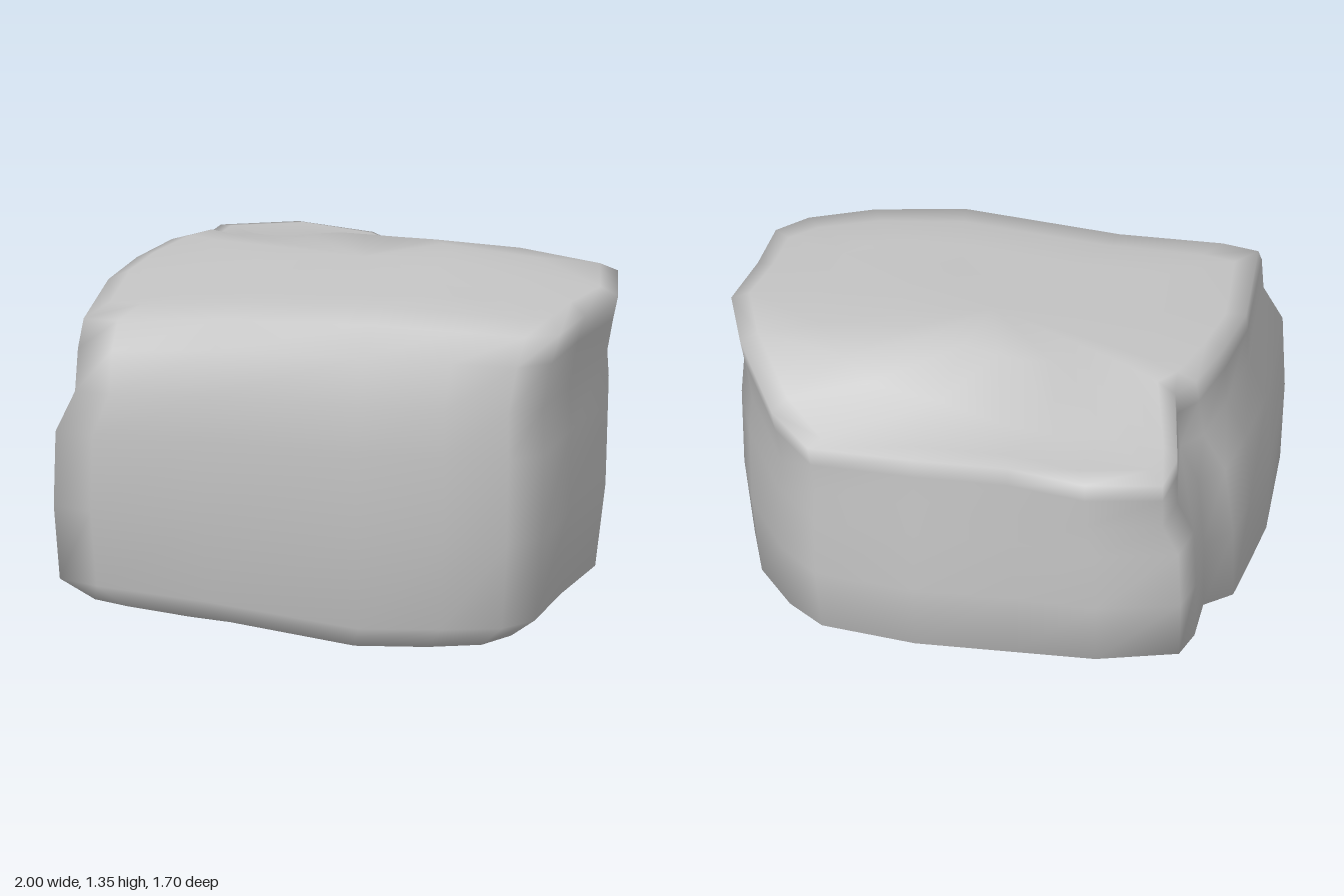
import * as THREE from 'three';

// Plan outline of the boulder (x, z), anticlockwise from its front right-hand corner
const OUTLINE = [
  [-0.97, 0.83], [-0.82, 0.85], [-0.4, 0.8], [0.22, 0.82], [0.56, 0.77], [0.8, 0.69], [0.91, 0.58],
  [0.94, 0.3], [1, 0], [0.92, -0.28], [0.76, -0.52], [0.6, -0.67], [0.2, -0.73], [-0.2, -0.8],
  [-0.53, -0.85], [-0.84, -0.78], [-0.87, -0.6], [-0.86, -0.33], [-0.96, -0.24], [-0.98, 0], [-1, 0.3],
];

// Cross-sections: height fraction, then reach to -x, +x, -z, +z
const LEVELS = [
  [0, 0.25, 0.3, 0.15, 0.35],
  [0, 0.6, 0.58, 0.5, 0.64],
  [0.02, 0.86, 0.8, 0.7, 0.75],
  [0.08, 0.99, 0.91, 0.83, 0.79],
  [0.35, 1, 0.95, 0.85, 0.84],
  [0.62, 0.99, 0.96, 0.85, 0.85],
  [0.76, 0.92, 0.95, 0.85, 0.82],
  [0.9, 0.92, 0.98, 0.85, 0.78],
  [0.98, 0.92, 1, 0.85, 0.7],
  [1, 0.85, 0.93, 0.78, 0.57],
  [1, 0.62, 0.68, 0.58, 0.42],
  [1, 0.32, 0.35, 0.3, 0.22],
];

const { smoothstep, lerp } = THREE.MathUtils;
const over = (v) => Math.max(0, v);
const bump = (v, centre, width) => Math.exp(-(((v - centre) / width) ** 2));

// Sloping underside, lowest near the front
const underside = (x, z) =>
  0.11 * Math.abs(0.62 - z) + 0.1 * over(0.2 - x) + 0.05 * over(x - 0.2) + 0.12 * over(-z - 0.3);

// Gently domed top, with a lower shelf at the back and a gully beside it
const topside = (x, z) =>
  1.36 - 0.065 * over(0.33 - x) - 0.1 * over(x - 0.33) - 0.05 * over(z)
  - (0.11 + 0.17 * bump(x, 0.38, 0.38)) * smoothstep(-z, 0.3, 0.55);

function boulderGeometry() {
  const points = [];
  const faces = [];
  const n = OUTLINE.length;
  const add = (x, z, t) => points.push(x, lerp(underside(x, z), topside(x, z), t), z);

  for (const [t, left, right, back, front] of LEVELS) {
    for (const [u, v] of OUTLINE) {
      let x = u * (u < 0 ? left : right);
      let z = (v / 0.85) * (v < 0 ? back : front);
      // Shallow hollows in the back and the upper left side
      if (z < -0.4) z += 0.06 * t * bump(x, 0.25, 0.3);
      if (x < -0.7) x += 0.08 * t * t * bump(z, -0.2, 0.18);
      add(x, z, t);
    }
  }

  // Skin between neighbouring sections
  for (let i = 0; i < LEVELS.length - 1; i++) {
    for (let j = 0; j < n; j++) {
      const a = i * n + j;
      const b = i * n + ((j + 1) % n);
      faces.push(a, b, b + n, a, b + n, a + n);
    }
  }

  // Close the bottom and top
  const bottom = LEVELS.length * n;
  const last = bottom - n;
  add(0, 0.1, 0);
  add(0, 0, 1);
  for (let j = 0; j < n; j++) {
    const k = (j + 1) % n;
    faces.push(bottom, k, j, last + j, last + k, bottom + 1);
  }

  const geometry = new THREE.BufferGeometry();
  geometry.setAttribute('position', new THREE.Float32BufferAttribute(points, 3));
  geometry.setIndex(faces);
  geometry.computeVertexNormals();
  return geometry;
}

export function createModel() {
  const group = new THREE.Group();
  group.name = 'rock';
  const stone = new THREE.MeshStandardMaterial({ color: 0xc4c4c4 });
  stone.name = 'grey stone';
  const boulder = new THREE.Mesh(boulderGeometry(), stone);
  boulder.name = 'boulder';

  // Stand it on the ground
  boulder.geometry.computeBoundingBox();
  boulder.position.y = -boulder.geometry.boundingBox.min.y;
  group.add(boulder);
  return group;
}
